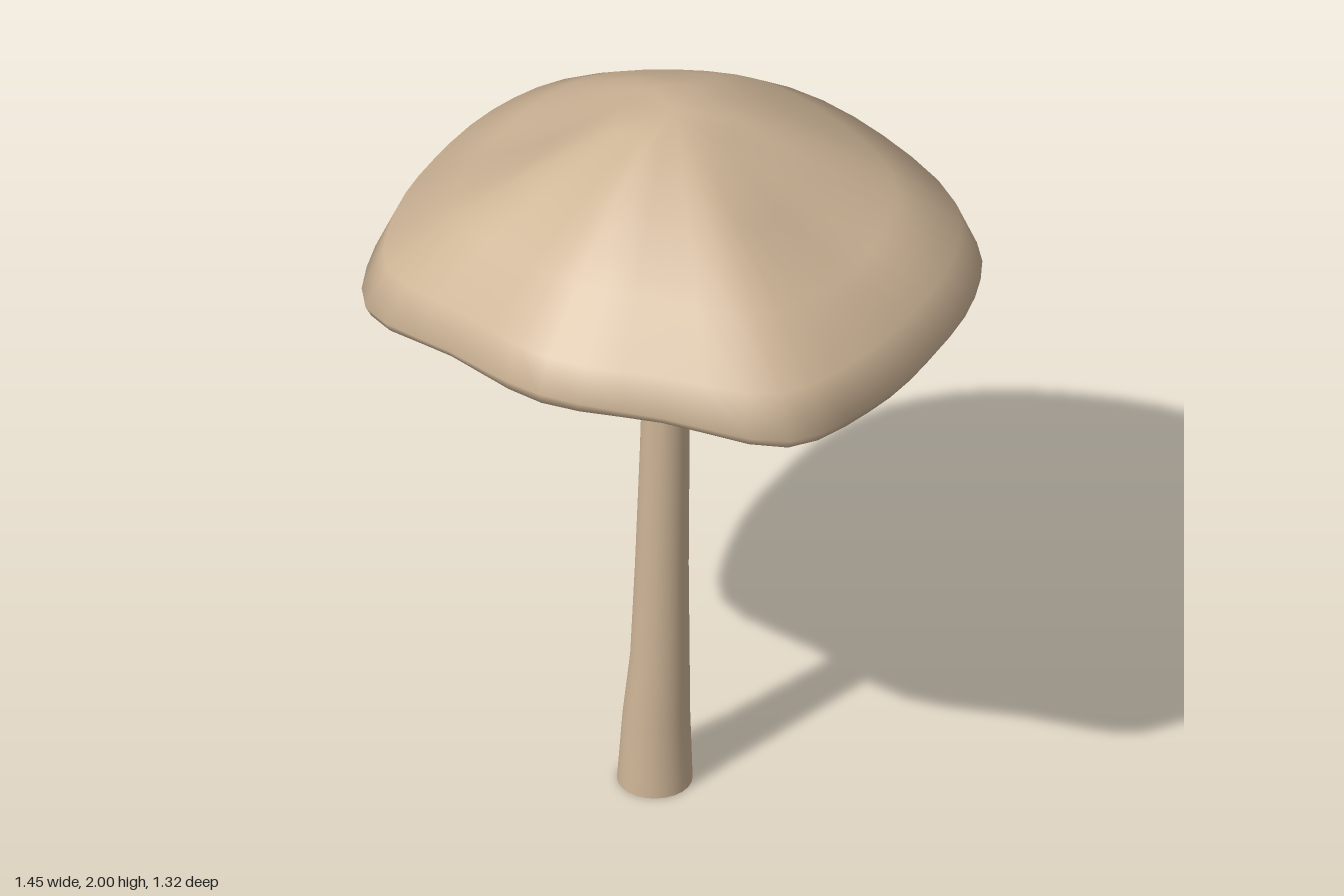
import * as THREE from 'three';
import { mergeVertices, toCreasedNormals } from 'three/addons/utils/BufferGeometryUtils.js';

// Skin a stack of closed rings (each an equal-length array of Vector3), top to bottom.
function loft(rings, crease) {
  const n = rings[0].length;
  const index = [];
  for (let i = 0; i < rings.length - 1; i++) {
    for (let j = 0; j < n; j++) {
      const k = (j + 1) % n;
      const a = i * n + j, b = a + n, c = (i + 1) * n + k, d = i * n + k;
      index.push(a, b, c, a, c, d);
    }
  }
  const g = new THREE.BufferGeometry();
  g.setAttribute('position', new THREE.Float32BufferAttribute(rings.flat().flatMap((p) => [p.x, p.y, p.z]), 3));
  g.setIndex(index);
  return toCreasedNormals(mergeVertices(g), crease);
}

// Round ring; tilt raises the +x side and lowers the -x side.
function circle(y, r, cx, cz, tilt = 0, n = 24) {
  return Array.from({ length: n }, (_, j) => {
    const a = (j / n) * Math.PI * 2;
    return new THREE.Vector3(cx + r * Math.sin(a), y + tilt * Math.sin(a), cz + r * Math.cos(a));
  });
}

// Cap outline from front to back along +x:
// [x, z, heights of five rings from crown to rim, lip height, lip inset]
const capSpokes = [
  [0, 0.655, [1.985, 1.90, 1.78, 1.65, 1.57], 1.53, 0.95],
  [0.30, 0.575, [1.975, 1.885, 1.77, 1.64, 1.55], 1.525, 0.95],
  [0.595, 0.46, [1.965, 1.87, 1.75, 1.62, 1.51], 1.475, 0.94],
  [0.70, 0.22, [1.965, 1.84, 1.73, 1.625, 1.51], 1.465, 0.92],
  [0.725, -0.03, [1.965, 1.825, 1.715, 1.625, 1.51], 1.46, 0.91],
  [0.695, -0.30, [1.965, 1.84, 1.73, 1.63, 1.51], 1.46, 0.91],
  [0.59, -0.50, [1.97, 1.875, 1.75, 1.64, 1.515], 1.457, 0.92],
  [0.31, -0.612, [1.985, 1.90, 1.79, 1.69, 1.55], 1.46, 0.93],
  [0, -0.66, [1.99, 1.925, 1.81, 1.71, 1.58], 1.468, 0.93],
];

function capGeometry() {
  const mirrored = capSpokes.slice(1, -1).reverse().map(([x, ...rest]) => [-x, ...rest]);
  const spokes = [...capSpokes, ...mirrored];
  const hub = 1.59;
  const level = (f, height) => {
    const points = spokes.map((s) => {
      const k = typeof f === 'function' ? f(s) : f;
      return new THREE.Vector3(s[0] * k, height(s), s[1] * k - 0.03 * (1 - k));
    });
    const curve = new THREE.CatmullRomCurve3(points, true);
    const n = spokes.length * 3;
    return Array.from({ length: n }, (_, j) => curve.getPoint(j / n));
  };
  const center = (y) => Array.from({ length: spokes.length * 3 }, () => new THREE.Vector3(0, y, -0.03));
  const toHub = (t) => (s) => s[3] + (hub - s[3]) * t;
  return loft([
    center(2),
    ...[0.2, 0.45, 0.72, 0.93, 1].map((f, i) => level(f, (s) => s[2][i])),
    level((s) => (1 + s[4]) / 2 + 0.012, (s) => s[3] * 0.75 + s[2][4] * 0.25),
    level((s) => s[4], (s) => s[3]),
    level(0.8, toHub(0.22)),
    level(0.5, toHub(0.68)),
    level(0.2, toHub(0.95)),
    center(hub),
  ], 1.2);
}

export function createModel() {
  const tan = new THREE.MeshStandardMaterial({ color: 0xcdb496 });
  tan.name = 'mushroom tan';
  const group = new THREE.Group();
  group.name = 'mushroom';
  const add = (name, geometry) => {
    const mesh = new THREE.Mesh(geometry, tan);
    mesh.name = name;
    group.add(mesh);
  };

  add('cap', capGeometry());

  // Slightly leaning stem that swells toward the foot
  add('stem', loft([
    circle(1.62, 0.057, -0.003, -0.005),
    circle(1.25, 0.058, -0.008, -0.005),
    circle(1.0, 0.061, -0.012, -0.004),
    circle(0.65, 0.066, -0.02, -0.004),
    circle(0.38, 0.073, -0.026, -0.005),
    circle(0.2, 0.083, -0.037, -0.007),
    circle(0, 0.093, -0.042, -0.008),
    circle(0, 0, -0.042, -0.008),
  ], 1));

  // Flared collar under the cap
  add('collar', loft([
    circle(1.428, 0.055, -0.005, -0.005),
    circle(1.385, 0.172, -0.018, -0.007, 0.018),
    circle(1.31, 0.145, -0.012, -0.007, 0.008),
    circle(1.257, 0.12, -0.005, -0.007),
    circle(1.25, 0.055, -0.008, -0.005),
  ], 1));

  return group;
}
